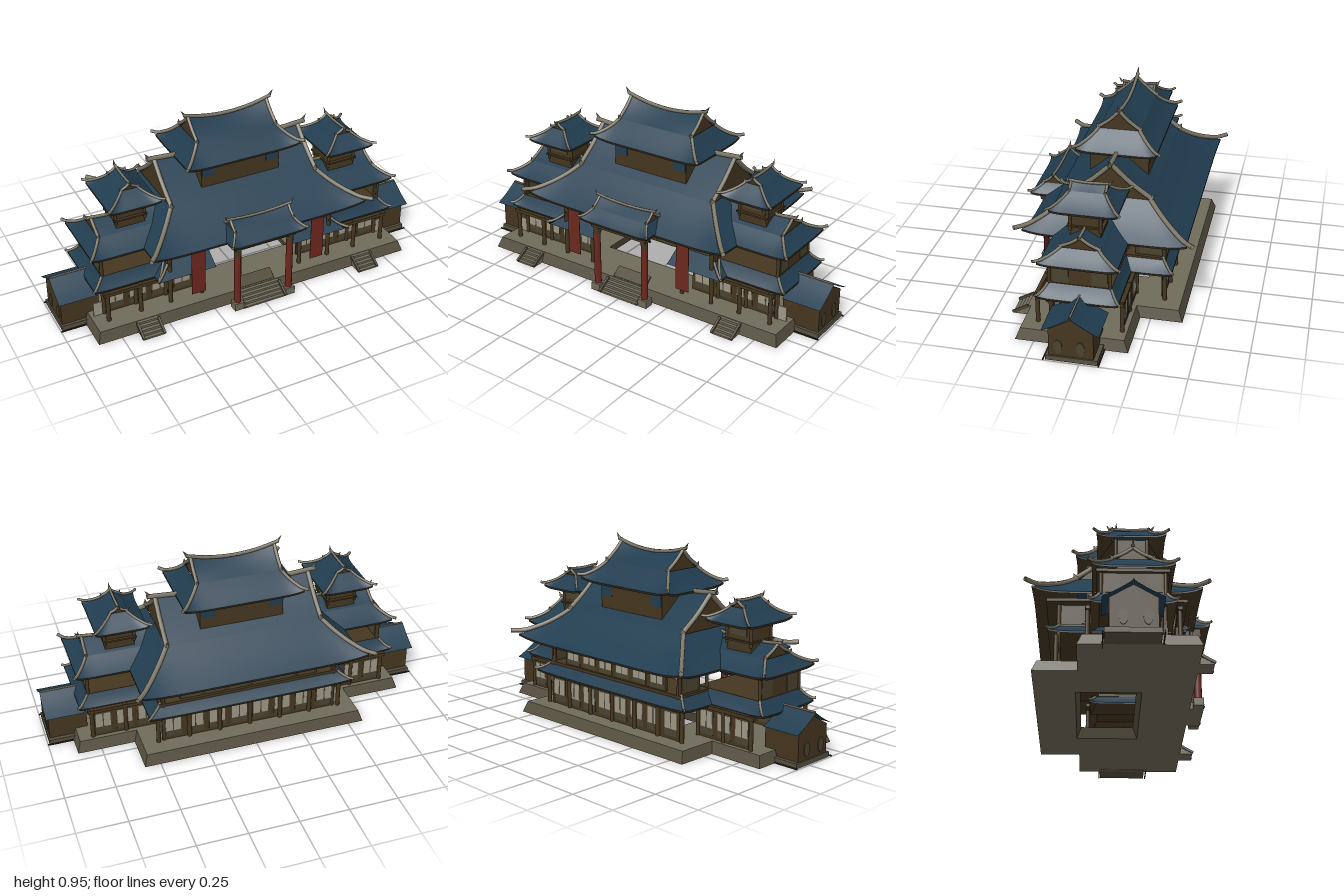
import * as THREE from 'three';

const mat = (name, color, side = THREE.FrontSide) =>
  new THREE.MeshStandardMaterial({ name, color, side });
const D = THREE.DoubleSide;
const M = {
  tile: mat('blue roof tile', 0x213d50, D),
  wood: mat('brown wood', 0x453620, D),
  dark: mat('dark wood', 0x2c2519, D),
  ridge: mat('grey ridge', 0x7d7767, D),
  stone: mat('pale platform stone', 0x706c5a, D),
  plinth: mat('dark platform stone', 0x575040, D),
  red: mat('red lacquer', 0x6c281e, D),
  paper: mat('paper window', 0x9d9785),
  lattice: mat('window lattice', 0x4a432f),
};
const SIDES = [-1, 1];
const lerp = THREE.MathUtils.lerp;
const V = (x, y, z) => new THREE.Vector3(x, y, z);
const V2 = p => new THREE.Vector2(...p);

function add(parent, name, geo, material) {
  const m = new THREE.Mesh(geo, material);
  m.name = name;
  parent.add(m);
  return m;
}

// Box given by its limits on each axis
function box(parent, name, material, x0, x1, y0, y1, z0, z1) {
  const g = new THREE.BoxGeometry(Math.abs(x1 - x0), y1 - y0, z1 - z0);
  g.translate((x0 + x1) / 2, (y0 + y1) / 2, (z0 + z1) / 2);
  return add(parent, name, g, material);
}

// Curved sheet from a rule f(u, v), with u and v from 0 to 1
function sheet(parent, name, material, f, nu, nv) {
  const pos = [], idx = [];
  for (let j = 0; j <= nv; j++)
    for (let i = 0; i <= nu; i++) pos.push(...f(i / nu, j / nv));
  for (let j = 0; j < nv; j++)
    for (let i = 0; i < nu; i++) {
      const a = j * (nu + 1) + i, b = a + nu + 1;
      idx.push(a, a + 1, b, a + 1, b + 1, b);
    }
  const g = new THREE.BufferGeometry();
  g.setAttribute('position', new THREE.Float32BufferAttribute(pos, 3));
  g.setIndex(idx);
  g.computeVertexNormals();
  return add(parent, name, g, material);
}

function tube(parent, name, pts, r) {
  const c = new THREE.CatmullRomCurve3(pts);
  return add(parent, name, new THREE.TubeGeometry(c, 14, r, 6), M.ridge);
}

// Hipped skirt with upturned corners; with a ridge height it gets a gabled top
function roof(parent, name, o) {
  const g = new THREE.Group();
  g.name = name;
  g.position.set(o.cx, 0, o.cz);
  g.rotation.y = o.turn || 0;
  parent.add(g);
  const { ex, ez, ix, iz, y0, y1, lift, r = 0.008, sag = 0.01 } = o;
  const rise = t => y0 + (y1 - y0) * (0.75 * t + 0.25 * t * t);
  const point = (side, s, t) => {
    const a = lerp(ex, ix, t), b = lerp(ez, iz, t);
    const w = lift * s ** 8 * (1 - t) ** 2, y = rise(t) + 0.8 * w;
    const flare = 0.35 * w, k = side % 2 ? b : a;
    const out = (side % 2 ? a : b) + flare, along = s * k + Math.sign(s) * flare;
    return [[along, y, out], [out, y, -along], [-along, y, -out], [-out, y, along]][side];
  };
  for (const side of o.sides || [0, 1, 2, 3]) {
    const at = drop => (u, v) => {
      const p = point(side, u * 2 - 1, v);
      p[1] -= drop;
      return p;
    };
    sheet(g, 'roofSlope', M.tile, at(0), 24, 5);
    sheet(g, 'roofUnderside', M.wood, at(0.01), 24, 5);
    sheet(g, 'eaveEdge', M.dark, (u, v) => at(0.01 * (1 - v))(u, 0), 24, 1);
  }
  for (const sx of SIDES) for (const sz of SIDES) {
    const pts = [];
    for (let t = -0.1; t < 1.01; t += 0.22) {
      const w = lift * (1 - t) ** 2;
      const tip = t < 0 ? lift * 0.4 : 0;
      pts.push(V(sx * (lerp(ex, ix, t) + w * 0.6), rise(t) + w + tip + r * 0.5, sz * (lerp(ez, iz, t) + w * 0.6)));
    }
    tube(g, 'hipRidge', pts, r);
    if (o.top) {
      tube(g, 'gableRidge', [V(sx * ix, y1 + r, sz * iz), V(sx * ix, lerp(y1, o.top + sag, 0.48), sz * iz / 2),
        V(sx * ix, o.top + sag, 0)], r);
      const knob = add(g, 'hipOrnament', new THREE.ConeGeometry(r * 1.2, r * 2.6, 5), M.ridge);
      knob.position.set(sx * ix, y1 + r * 1.8, sz * (iz + r));
      knob.rotation.x = sz * 0.5;
    }
  }
  if (!o.top) return g;
  for (const s of SIDES) {
    sheet(g, 'gableSlope', M.tile, (u, v) => {
      const x = u * 2 - 1;
      return [x * ix, lerp(y1, o.top, v * (0.92 + 0.08 * v)) + sag * x * x * v, s * iz * (1 - v)];
    }, 14, 4);
    sheet(g, 'gableWall', M.wood, (u, v) =>
      [s * (ix - 0.006), lerp(y1 - 0.01, o.top + sag * 0.95, v), (u * 2 - 1) * iz * (1 - v)], 2, 2);
    const tip = add(g, 'ridgeFinial', new THREE.ConeGeometry(r, r * 4.2, 5), M.ridge);
    tip.position.set(s * (ix + r * 3), o.top + sag * 1.4 + r * 1.5, 0);
    tip.rotation.z = -s * 0.6;
  }
  const line = [-1.1, -0.6, 0, 0.6, 1.1].map(u => V(u * ix, o.top + r * 0.5 + sag * u * u, 0));
  tube(g, 'topRidge', line, r);
  return g;
}

// Straight stair running down towards the front
function stairs(parent, cx, hw) {
  for (let i = 0; i < 5; i++)
    box(parent, 'stairStep', M.stone, cx - hw, cx + hw, 0, 0.053 - i * 0.011, 0.31, 0.335 + i * 0.018);
  for (const s of SIDES) {
    const rail = box(parent, 'stairCurb', M.plinth, -0.006, 0.006, -0.006, 0.006, -0.045, 0.045);
    rail.position.set(cx + s * hw, 0.03, 0.372);
    rail.rotation.x = 0.52;
  }
}

function column(parent, x, z, y0, y1, r = 0.011, material = M.wood) {
  const c = add(parent, 'column', new THREE.CylinderGeometry(r, r, y1 - y0, 10), material);
  c.position.set(x, (y0 + y1) / 2, z);
}

// Wall facing front and back, with a row of latticed window plates on both faces
function windowWall(parent, name, x0, x1, y0, y1, z, n, material = M.paper) {
  box(parent, name, M.wood, x0, x1, y0, y1, z - 0.006, z + 0.006);
  const step = (x1 - x0) / n, h = y1 - y0;
  for (let i = 0; i < n; i++) {
    const a = x0 + step * (i + 0.12), b = x0 + step * (i + 0.88), c = (a + b) / 2;
    box(parent, 'latticePlate', M.lattice, a, b, y0 + h * 0.1, y1 - h * 0.12, z - 0.008, z + 0.008);
    for (const [p, q] of [[a + 0.004, c - 0.003], [c + 0.003, b - 0.004]])
      box(parent, 'windowPlate', material, p, q, y0 + h * 0.32, y1 - h * 0.17, z - 0.009, z + 0.009);
  }
}

export function createModel() {
  const root = new THREE.Group();
  root.name = 'templeHall';

  // Battered stone platform, open under the middle court
  const shape = new THREE.Shape([[-0.87, -0.34], [0.87, -0.34], [0.87, 0.2], [0.58, 0.2], [0.58, 0.405],
    [-0.58, 0.405], [-0.58, 0.2], [-0.87, 0.2]].map(V2));
  shape.holes.push(new THREE.Path([[-0.32, -0.1], [-0.32, 0.21], [0.32, 0.21], [0.32, -0.1]].map(V2)));
  const base = new THREE.ExtrudeGeometry(shape, { depth: 0.055, bevelEnabled: false });
  base.rotateX(-Math.PI / 2);
  const bp = base.attributes.position;
  for (let i = 0; i < bp.count; i++) if (bp.getY(i) > 0.03) {
    bp.setX(i, bp.getX(i) - Math.sign(bp.getX(i)) * 0.018);
    bp.setZ(i, bp.getZ(i) - Math.sign(bp.getZ(i)) * 0.022);
  }
  base.computeVertexNormals();
  add(root, 'platform', base, [M.stone, M.plinth]);
  stairs(root, 0, 0.115);
  for (const s of SIDES) stairs(root, s * 0.61, 0.055);
  const ramp = box(root, 'innerRamp', M.lattice, -0.1, 0.1, -0.004, 0.004, -0.03, 0.03);
  ramp.position.set(0, 0.073, 0.285);
  ramp.rotation.x = 0.65;

  // Main hall
  windowWall(root, 'hallBackWall', -0.46, 0.46, 0.055, 0.215, -0.29, 8);
  windowWall(root, 'hallUpperBackWall', -0.36, 0.36, 0.27, 0.39, -0.28, 6);
  windowWall(root, 'hallUpperFrontWall', -0.22, 0.22, 0.27, 0.39, 0.2, 4, M.lattice);
  const plaque = box(root, 'namePlaque', M.dark, -0.1, 0.1, -0.045, 0.045, -0.004, 0.004);
  plaque.position.set(0, 0.33, 0.28);
  plaque.rotation.x = 0.35;
  box(root, 'hallFloorSlab', M.wood, -0.47, 0.47, 0.265, 0.28, -0.3, -0.1);
  box(root, 'hallCeiling', M.wood, -0.5, 0.5, 0.385, 0.4, -0.35, 0.31);
  for (let i = 0; i < 7; i++) column(root, -0.48 + i * 0.16, -0.3, 0.055, 0.22);
  roof(root, 'hallLowerRoof', { cx: 0, cz: -0.02, ex: 0.525, ez: 0.315, ix: 0.46, iz: 0.265, y0: 0.22, y1: 0.28, lift: 0.012, sides: [1, 2, 3], r: 0.007 });
  roof(root, 'mainRoof', { cx: 0, cz: -0.02, ex: 0.57, ez: 0.385, ix: 0.4, iz: 0.19, y0: 0.4, y1: 0.55, top: 0.705, lift: 0.03, sag: 0.015, r: 0.012 });

  // Upper storey
  box(root, 'upperStorey', M.wood, -0.215, 0.215, 0.54, 0.725, -0.165, 0.125);
  for (const [z0, z1] of [[0.125, 0.127], [-0.167, -0.165]])
    for (const s of SIDES) box(root, 'upperWindow', M.tile, s * 0.14, s * 0.21, 0.645, 0.7, z0, z1);
  roof(root, 'upperRoof', { cx: 0, cz: -0.02, ex: 0.298, ez: 0.192, ix: 0.215, iz: 0.1, y0: 0.72, y1: 0.815, top: 0.88, lift: 0.02, sag: 0.03, r: 0.009 });

  // Front porch
  roof(root, 'porchRoof', { cx: 0, cz: 0.33, ex: 0.196, ez: 0.108, ix: 0.16, iz: 0.05, y0: 0.405, y1: 0.455, top: 0.492, lift: 0.013, r: 0.007 });
  box(root, 'porchBeam', M.wood, -0.165, 0.165, 0.36, 0.405, 0.36, 0.4);

  for (const s of SIDES) {
    // Red porch columns on stone feet, with hanging banners
    column(root, s * 0.145, 0.38, 0.04, 0.32, 0.018, M.red);
    column(root, s * 0.145, 0.38, 0.32, 0.38, 0.018, M.wood);
    box(root, 'columnFoot', M.stone, s * 0.12, s * 0.17, 0, 0.04, 0.355, 0.405);
    box(root, 'porchBracket', M.wood, s * 0.135, s * 0.155, 0.365, 0.4, 0.26, 0.4);
    box(root, 'banner', M.red, s * 0.296, s * 0.37, 0.125, 0.4, 0.329, 0.331);

    // Side wing of the hall
    const wing = new THREE.Group();
    wing.name = s > 0 ? 'leftWing' : 'rightWing';
    root.add(wing);
    const [xa, xb] = [0.3 * s, 0.78 * s].sort((a, b) => a - b);
    windowWall(wing, 'wingFrontWall', xa, xb, 0.055, 0.215, 0.18, 4);
    const [xc, xd] = [0.45 * s, 0.78 * s].sort((a, b) => a - b);
    windowWall(wing, 'wingBackWall', xc, xd, 0.055, 0.215, -0.15, 3);
    for (const x of [0.45, 0.61, 0.78]) for (const z of [0.25, 0.185, -0.155])
      column(wing, s * x, z, 0.055, 0.22);
    column(wing, s * 0.28, 0.25, 0.055, 0.22);
    box(wing, 'wingFrontBeam', M.wood, s * 0.24, s * 0.8, 0.2, 0.218, 0.24, 0.26);
    box(wing, 'wingBackBeam', M.wood, s * 0.38, s * 0.8, 0.2, 0.218, -0.165, -0.145);
    box(wing, 'outerWindow', M.paper, s * 0.79, s * 0.835, 0.055, 0.13, 0.183, 0.19);
    roof(wing, 'wingLowerRoof', { cx: s * 0.6, cz: 0.045, ex: 0.232, ez: 0.187, ix: 0.185, iz: 0.15, y0: 0.22, y1: 0.28, lift: 0.012, r: 0.007 });
    sheet(wing, 'frontLeanRoof', M.tile, (u, v) =>
      [s * lerp(0.22, lerp(0.525, 0.46, v), u), lerp(0.22, 0.278, v), lerp(0.295, 0.2, v)], 6, 3);
    tube(wing, 'leanRoofHip', [V(s * 0.535, 0.236, 0.305), V(s * 0.5, 0.246, 0.257), V(s * 0.46, 0.28, 0.2)], 0.007);
    box(wing, 'wingFloorSlab', M.wood, s * 0.4, s * 0.785, 0.265, 0.282, -0.105, 0.195);
    box(wing, 'wingCeiling', M.wood, s * 0.4, s * 0.8, 0.385, 0.4, -0.12, 0.21);
    for (const x of [0.45, 0.78]) for (const z of [0.19, -0.098]) column(wing, s * x, z, 0.28, 0.39, 0.009);
    box(wing, 'wingSideWall', M.wood, s * 0.772, s * 0.782, 0.28, 0.39, -0.1, 0.195);
    for (const z of [0.135, -0.05])
      box(wing, 'sideLattice', M.lattice, s * 0.769, s * 0.785, 0.29, 0.38, z - 0.038, z + 0.038);
    for (const [z0, z1] of [[0.2, 0.26], [-0.3, -0.15]])
      box(wing, 'hallSideWall', M.wood, s * 0.445, s * 0.455, 0.27, 0.39, z0, z1);
    box(wing, 'hallSideLattice', M.lattice, s * 0.442, s * 0.458, 0.29, 0.375, -0.28, -0.17);
    for (const z of [0.25, -0.29]) column(wing, s * 0.45, z, 0.055, 0.39);
    roof(wing, 'wingRoof', { cx: s * 0.59, cz: 0.045, ex: 0.242, ez: 0.182, ix: 0.175, iz: 0.09, y0: 0.4, y1: 0.465, top: 0.515, lift: 0.016, r: 0.008 });

    // Turret with its ridge running front to back
    box(wing, 'turretBody', M.wood, s * 0.515, s * 0.665, 0.46, 0.62, -0.03, 0.115);
    box(wing, 'turretRail', M.wood, s * 0.505, s * 0.675, 0.52, 0.528, -0.045, 0.13);
    for (const x of [0.515, 0.665]) for (const z of [-0.03, 0.115]) column(wing, s * x, z, 0.5, 0.62, 0.008);
    for (const [z0, z1] of [[0.115, 0.119], [-0.034, -0.03]])
      box(wing, 'turretWindow', M.lattice, s * 0.54, s * 0.64, 0.55, 0.6, z0, z1);
    roof(wing, 'turretRoof', { cx: s * 0.59, cz: 0.04, turn: Math.PI / 2, ex: 0.155, ez: 0.128, ix: 0.085, iz: 0.04, y0: 0.615, y1: 0.685, top: 0.712, lift: 0.015, sag: 0.005, r: 0.007 });

    // Low gabled annex at the end
    const annex = new THREE.Group();
    annex.name = s > 0 ? 'leftAnnex' : 'rightAnnex';
    root.add(annex);
    box(annex, 'annexStep', M.plinth, s * 0.82, s * 0.992, 0, 0.025, -0.085, 0.16);
    for (const z of [-0.09, 0.17]) box(annex, 'groundKerb', M.dark, s * 0.82, s, 0, 0.006, z - 0.003, z + 0.003);
    const end = new THREE.Shape([[-0.105, 0.02], [0.105, 0.02], [0.105, 0.165], [0, 0.226], [-0.105, 0.165]].map(V2));
    const walls = new THREE.ExtrudeGeometry(end, { depth: 0.195, bevelEnabled: false });
    walls.rotateY(Math.PI / 2).translate(s > 0 ? 0.79 : -0.985, 0, 0.04);
    add(annex, 'annexWalls', walls, M.wood);
    for (const z of [0.1, -0.005]) {
      const oval = add(annex, 'ovalLattice', new THREE.CylinderGeometry(0.02, 0.02, 0.006, 20), M.lattice);
      oval.rotation.z = Math.PI / 2;
      oval.scale.x = 1.8;
      oval.position.set(s * 0.986, 0.075, z);
    }
    for (const k of SIDES) {
      const slope = v => [lerp(0.163, 0.242, v * (0.75 + 0.25 * v)), 0.04 + k * 0.135 * (1 - v)];
      sheet(annex, 'annexRoof', M.tile, (u, v) => [s * lerp(0.8, 1, u), ...slope(v)], 2, 5);
    }
    tube(annex, 'annexRidge', [V(s * 0.8, 0.244, 0.04), V(s * 0.995, 0.244, 0.04)], 0.005);
  }
  return root;
}
